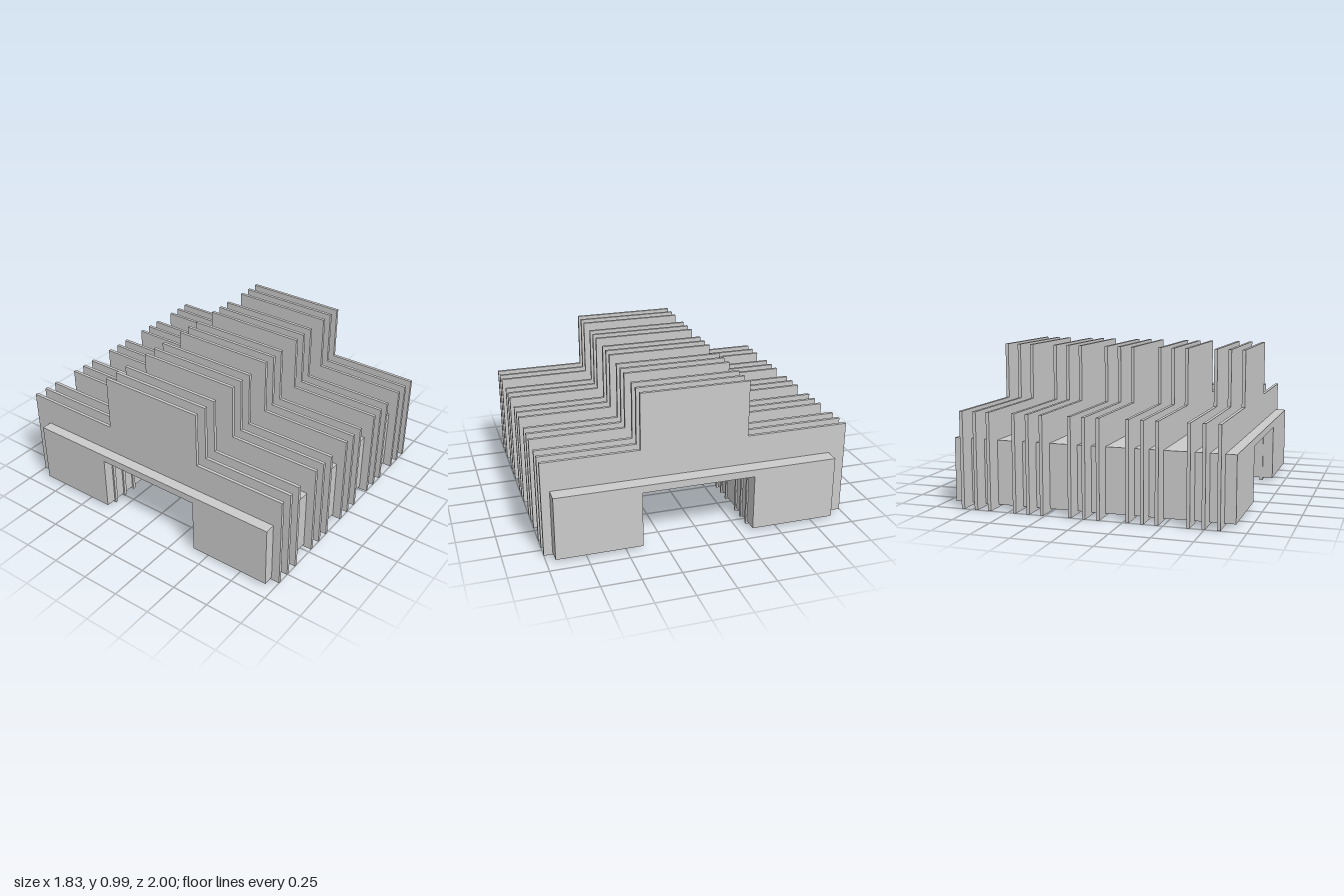
import * as THREE from 'three';

const material = new THREE.MeshStandardMaterial({ color: 0xcccccc, flatShading: true });

// Extrudes a [z, y] side profile along x, centred on x = 0
function extrudeAlongX(profile, width) {
  const shape = new THREE.Shape(profile.map(([z, y]) => new THREE.Vector2(-z, y)));
  const geometry = new THREE.ExtrudeGeometry(shape, { depth: width, bevelEnabled: false });
  geometry.translate(0, 0, -width / 2);
  geometry.rotateY(Math.PI / 2);
  return geometry;
}

export function createModel() {
  const model = new THREE.Group();
  model.name = 'finnedBridgeBlock';

  // Solid bridge-shaped core: two legs joined by a thin deck
  const core = new THREE.Mesh(extrudeAlongX([
    [0.945, 0.017], [0.945, 0.432], [-0.889, 0.432], [-0.889, 0.017],
    [-0.336, 0.017], [-0.336, 0.384], [0.394, 0.384], [0.394, 0.017],
  ], 1.83), material);
  core.name = 'core';
  model.add(core);

  // Stepped fins that straddle the core, raised over the middle
  const finGeometry = extrudeAlongX([
    [1, 0], [1, 0.624], [0.38, 0.624], [0.38, 0.992],
    [-0.322, 0.992], [-0.322, 0.624], [-1, 0.624], [-1, 0],
    [-0.326, 0], [-0.326, 0.373], [0.384, 0.373], [0.384, 0],
  ], 0.021);

  // Five clusters of three fins
  [-0.744, -0.37, -0.003, 0.363, 0.717].forEach((x) => {
    const cluster = new THREE.Group();
    cluster.name = 'finCluster';
    cluster.position.x = x;
    for (let i = -1; i <= 1; i++) {
      const fin = new THREE.Mesh(finGeometry, material);
      fin.name = 'fin';
      fin.position.x = i * 0.091;
      cluster.add(fin);
    }
    model.add(cluster);
  });

  return model;
}
